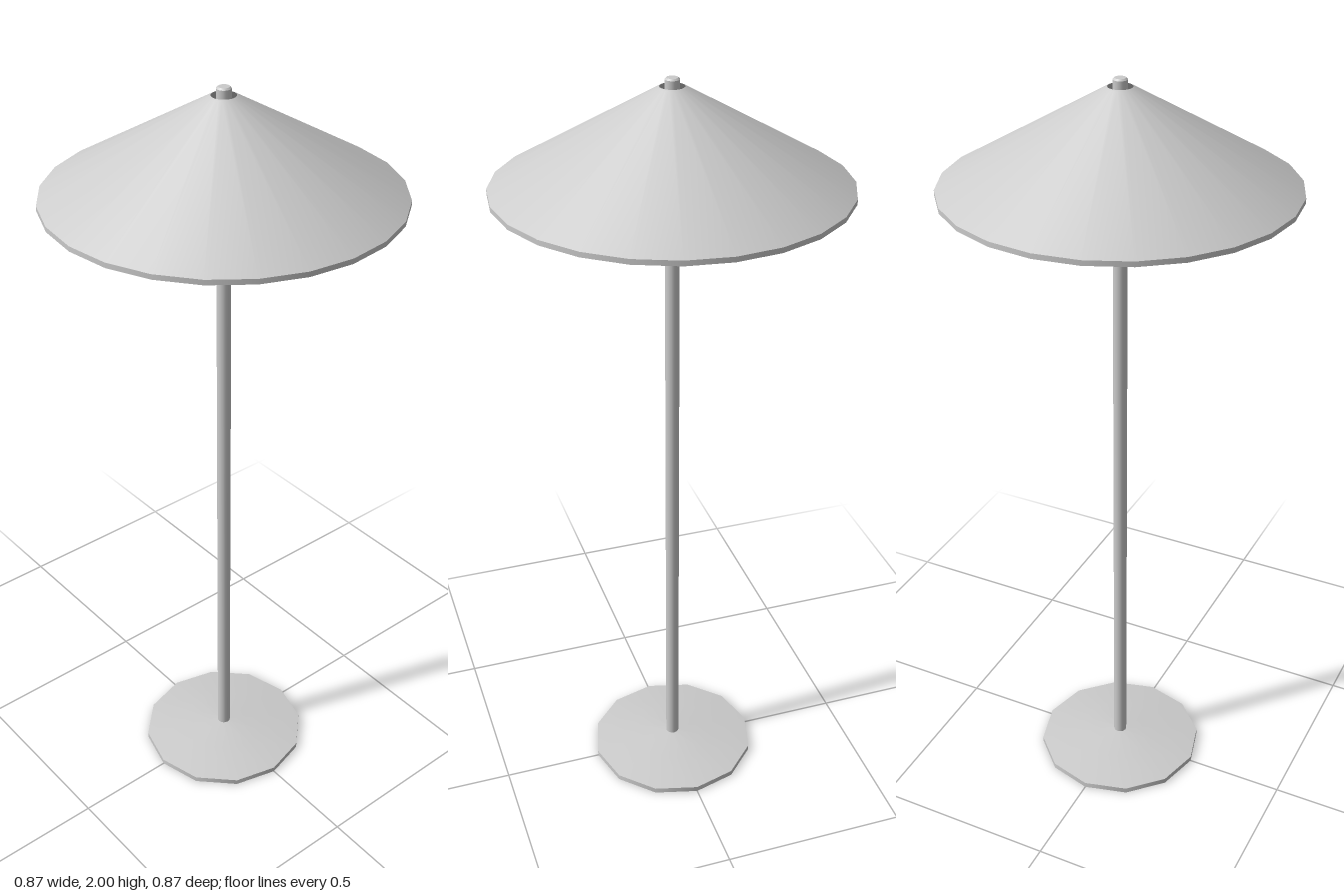
import * as THREE from 'three';

const grey = new THREE.MeshStandardMaterial({ color: 0xcccccc });
const greyThin = new THREE.MeshStandardMaterial({ color: 0xcccccc, side: THREE.DoubleSide });

// Revolve [radius, height] pairs; a repeated pair gives a sharp edge
function lathe(name, profile, sides, material) {
  const points = profile.map(([r, y]) => new THREE.Vector2(r, y));
  const mesh = new THREE.Mesh(new THREE.LatheGeometry(points, sides), material);
  mesh.name = name;
  return mesh;
}

export function createModel() {
  const lamp = new THREE.Group();
  lamp.name = 'floorLamp';

  // Shallow hollow foot with a short upright rim
  lamp.add(lathe('base', [
    [0.23, 0], [0.23, 0.015], [0.23, 0.015], [0.12, 0.03], [0.015, 0.039],
  ], 12, greyThin));

  // Pole running up through the bulb and shade, ending in a bevelled tip
  lamp.add(lathe('pole', [
    [0.018, 0.03], [0.018, 1.996], [0.018, 1.996],
    [0.014, 2], [0.014, 2], [0, 2],
  ], 16, grey));

  // Round bulb under the shade
  const bulb = new THREE.Mesh(new THREE.SphereGeometry(0.085, 16, 12), grey);
  bulb.name = 'bulb';
  bulb.position.y = 1.765;
  lamp.add(bulb);

  // Thin conical shade with an upright rim and an open top
  lamp.add(lathe('shade', [
    [0.437, 1.73], [0.437, 1.743], [0.437, 1.743], [0.034, 1.978], [0.03, 1.98],
  ], 24, greyThin));

  return lamp;
}
